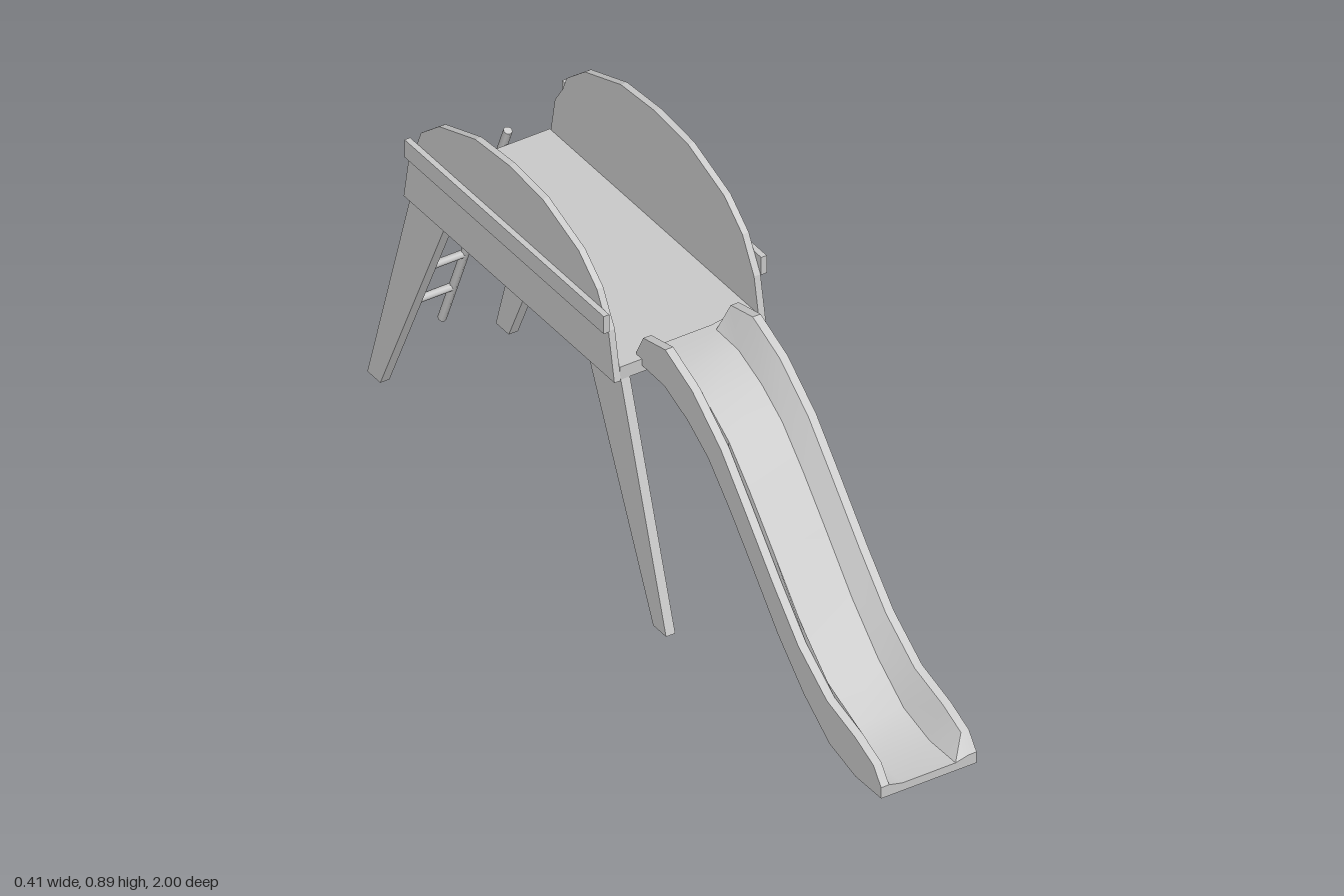
import * as THREE from 'three';
import { toCreasedNormals } from 'three/addons/utils/BufferGeometryUtils.js';

const material = new THREE.MeshStandardMaterial({ color: 0xcccccc });

function add(group, name, geometry) {
  const mesh = new THREE.Mesh(geometry, material);
  mesh.name = name;
  group.add(mesh);
  return mesh;
}

function box(x0, x1, y0, y1, z0, z1) {
  return new THREE.BoxGeometry(x1 - x0, y1 - y0, z1 - z0)
    .translate((x0 + x1) / 2, (y0 + y1) / 2, (z0 + z1) / 2);
}

// Flat plate with a [z, y] outline, spanning x0..x1
function plate(points, x0, x1) {
  const shape = new THREE.Shape(points.map(([z, y]) => new THREE.Vector2(z, y)));
  return new THREE.ExtrudeGeometry(shape, { depth: x1 - x0, bevelEnabled: false })
    .rotateY(-Math.PI / 2).translate(x1, 0, 0);
}

// Round bar between two points
function bar(from, to, radius) {
  const dir = to.clone().sub(from);
  const turn = new THREE.Quaternion().setFromUnitVectors(
    new THREE.Vector3(0, 1, 0), dir.clone().normalize());
  const mid = from.clone().add(to).multiplyScalar(0.5);
  const g = new THREE.CylinderGeometry(radius, radius, dir.length(), 8)
    .applyQuaternion(turn).translate(mid.x, mid.y, mid.z);
  return toCreasedNormals(g, 0.9);
}

// Channel lofted along stations: rim z, rim y, underside z, underside y
function slideGeometry() {
  const stations = [
    [0.055, 0.612, 0.055, 0.587], [0.08, 0.66, 0.075, 0.587], [0.165, 0.68, 0.16, 0.585],
    [0.27, 0.635, 0.25, 0.55], [0.38, 0.55, 0.33, 0.5], [0.47, 0.45, 0.41, 0.42],
    [0.58, 0.325, 0.5, 0.32], [0.68, 0.22, 0.6, 0.205], [0.79, 0.145, 0.7, 0.11],
    [0.9, 0.115, 0.8, 0.04], [0.97, 0.085, 0.9, 0.015], [1, 0.045, 1, 0.017],
  ];
  const pos = [], index = [], n = 8;
  for (const [zt, t, zb, b] of stations) {
    const f = b + 0.02;
    pos.push(-0.12, b, zb, 0.12, b, zb, 0.12, t, zt, 0.1, t, zt,
      0.067, f, zb, -0.067, f, zb, -0.1, t, zt, -0.12, t, zt);
  }
  const quad = (a, b, c, d) => index.push(a, b, c, a, c, d);
  for (let i = 0; i < stations.length - 1; i++) {
    for (let k = 0; k < n; k++) {
      const j = (k + 1) % n;
      quad(i * n + k, i * n + j, (i + 1) * n + j, (i + 1) * n + k);
    }
  }
  // End caps
  const last = (stations.length - 1) * n;
  for (const [a, b, c, d] of [[0, 1, 4, 5], [1, 2, 3, 4], [0, 5, 6, 7]]) {
    quad(last + a, last + b, last + c, last + d);
    quad(d, c, b, a);
  }
  const g = new THREE.BufferGeometry();
  g.setAttribute('position', new THREE.Float32BufferAttribute(pos, 3));
  g.setIndex(index);
  return toCreasedNormals(g, 0.5);
}

export function createModel() {
  const model = new THREE.Group();
  model.name = 'playgroundSlide';

  add(model, 'deck', box(-0.175, 0.175, 0.57, 0.603, -0.735, 0.075));
  add(model, 'slide', slideGeometry());

  // Domed side panels, rails and tapered legs, mirrored left and right
  const panel = [
    [0.078, 0.57], [0.055, 0.69], [0.03, 0.735], [0.01, 0.772], [-0.06, 0.83], [-0.2, 0.88],
    [-0.33, 0.89], [-0.46, 0.88], [-0.6, 0.83], [-0.67, 0.772], [-0.685, 0.735],
    [-0.715, 0.69], [-0.737, 0.57],
  ];
  const frontLeg = [[0.2, 0.01], [0.25, 0.01], [0.075, 0.57], [-0.055, 0.57]];
  const backLeg = [[-0.855, 0.01], [-0.905, 0.01], [-0.735, 0.57], [-0.6, 0.57]];
  for (const [side, s] of [['left', 1], ['right', -1]]) {
    const span = (a, b) => (s > 0 ? [a, b] : [-b, -a]);
    add(model, side + 'Panel', plate(panel, ...span(0.175, 0.191)));
    add(model, side + 'Rail', box(...span(0.191, 0.205), 0.69, 0.735, -0.712, 0.058));
    add(model, side + 'FrontLeg', plate(frontLeg, ...span(0.15, 0.173)));
    add(model, side + 'BackLeg', plate(backLeg, ...span(0.15, 0.173)));
  }

  // Leaning ladder behind the deck
  const ladder = new THREE.Group();
  ladder.name = 'ladder';
  model.add(ladder);
  const at = (x, t) => new THREE.Vector3(
    x, THREE.MathUtils.lerp(0.004, 0.639, t), THREE.MathUtils.lerp(-0.99, -0.735, t));
  for (const x of [-0.077, 0.07]) add(ladder, 'ladderPost', bar(at(x, 0), at(x, 1), 0.01));
  for (let i = 0; i < 5; i++) {
    const t = 0.17 + i * 0.176;
    add(ladder, 'rung', bar(at(-0.077, t), at(0.07, t), 0.009));
  }
  return model;
}
